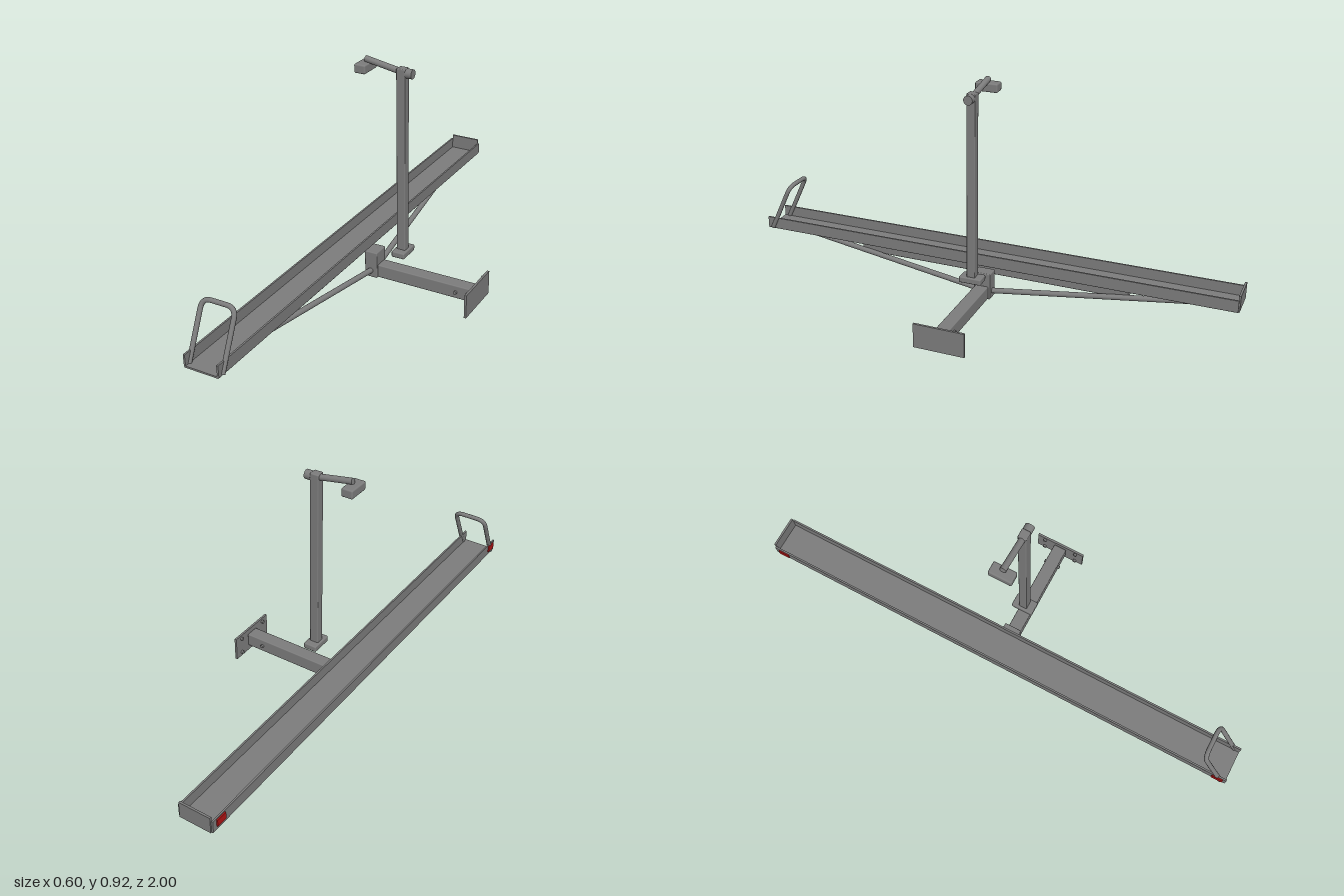
import * as THREE from 'three';
import { RoundedBoxGeometry } from 'three/addons/geometries/RoundedBoxGeometry.js';

const steel = new THREE.MeshStandardMaterial({ name: 'grey steel', color: 0x7c7c7c });
const red = new THREE.MeshStandardMaterial({ name: 'red reflector', color: 0xb01515 });

export function createModel() {
  const model = new THREE.Group();
  model.name = 'carrierRack';

  const add = (name, geometry, material = steel) => {
    const mesh = new THREE.Mesh(geometry, material);
    mesh.name = name;
    model.add(mesh);
    return mesh;
  };
  // Box given by its extents; r rounds the edges
  const box = (name, x0, x1, y0, y1, z0, z1, r = 0, material = steel) => {
    const [w, h, d] = [x1 - x0, y1 - y0, z1 - z0];
    const geometry = r ? new RoundedBoxGeometry(w, h, d, 2, r) : new THREE.BoxGeometry(w, h, d);
    const mesh = add(name, geometry, material);
    mesh.position.set((x0 + x1) / 2, (y0 + y1) / 2, (z0 + z1) / 2);
    return mesh;
  };
  // Round bar between two points
  const rod = (name, a, b, radius) => {
    const from = new THREE.Vector3(...a), to = new THREE.Vector3(...b);
    const dir = to.clone().sub(from);
    const mesh = add(name, new THREE.CylinderGeometry(radius, radius, dir.length(), 20));
    mesh.position.copy(from).add(to).multiplyScalar(0.5);
    mesh.quaternion.setFromUnitVectors(new THREE.Vector3(0, 1, 0), dir.normalize());
    return mesh;
  };

  // Wheel tray: U-shaped channel running the full length, open at the front
  const L = -0.295, R = -0.155, B = 0.145, T = 0.195, t = 0.007, c = 0.006;
  const channel = new THREE.Shape();
  channel.moveTo(L, T);
  channel.lineTo(L, B + c);
  channel.quadraticCurveTo(L, B, L + c, B);
  channel.lineTo(R - c, B);
  channel.quadraticCurveTo(R, B, R, B + c);
  channel.lineTo(R, T);
  channel.lineTo(R - t, T);
  channel.lineTo(R - t, B + t);
  channel.lineTo(L + t, B + t);
  channel.lineTo(L + t, T);
  channel.closePath();
  const tray = add('tray', new THREE.ExtrudeGeometry(channel, { depth: 1.995, bevelEnabled: false, curveSegments: 4 }));
  tray.position.z = -0.995;
  box('trayEndPlate', -0.288, -0.162, 0.147, 0.212, -1, -0.992);

  // Side reflectors
  for (const z of [0.965, -0.955]) {
    box('reflector', -0.3, -0.2945, 0.163, 0.19, z - 0.022, z + 0.022, 0, red);
  }

  // Wheel hoop: rounded arch leaning back from the front end
  const arch = new THREE.CurvePath();
  const at = (x, s) => new THREE.Vector3(x, 0.155 + 0.193 * s, 0.977 - 0.093 * s);
  const [hl, hr, bend, s0] = [-0.29, -0.156, 0.036, 0.83];
  arch.add(new THREE.LineCurve3(at(hl, 0), at(hl, s0)));
  arch.add(new THREE.QuadraticBezierCurve3(at(hl, s0), at(hl, 1), at(hl + bend, 1)));
  arch.add(new THREE.LineCurve3(at(hl + bend, 1), at(hr - bend, 1)));
  arch.add(new THREE.QuadraticBezierCurve3(at(hr - bend, 1), at(hr, 1), at(hr, s0)));
  arch.add(new THREE.LineCurve3(at(hr, s0), at(hr, 0)));
  add('wheelHoop', new THREE.TubeGeometry(arch, 80, 0.009, 12));
  for (const x of [hl, hr]) rod('hoopFoot', [x, 0.151, 0.979], [x, 0.156, 0.9765], 0.009);

  // Support rail under the tray, with a diagonal brace each way
  box('supportRail', -0.245, -0.2, 0.095, 0.137, -0.572, 0.572, 0.005);
  for (const s of [1, -1]) {
    rod('brace', [-0.147, 0.05, s * 0.025], [-0.222, 0.125, s * 0.81], 0.011);
  }

  // Mounting post and arm
  box('post', -0.174, -0.12, 0.022, 0.133, -0.035, 0.035, 0.004);
  box('arm', -0.122, 0.29, 0.024, 0.078, -0.027, 0.027, 0.004);
  rod('armPin', [0.217, 0.05, -0.034], [0.217, 0.05, 0.034], 0.007);

  // End plate and its four bolts
  box('endPlate', 0.289, 0.298, 0, 0.098, -0.103, 0.103);
  for (const y of [0.017, 0.083]) {
    for (const z of [-0.07, 0.07]) rod('plateBolt', [0.281, y, z], [0.291, y, z], 0.007);
  }

  // Upright mast on its foot
  box('mastFoot', -0.05, 0.005, 0.143, 0.168, -0.045, 0.045, 0.005);
  box('mast', -0.041, -0.005, 0.165, 0.902, -0.017, 0.017, 0.004);

  // Clamp: tilted tube, knob and pad
  rod('clampTube', [-0.03, 0.887, 0], [-0.174, 0.913, 0], 0.012);
  const knob = rod('clampKnob', [-0.006, 0.884, 0], [0.02, 0.884, 0], 0.018);
  knob.geometry.computeBoundingSphere();
  box('clampPad', -0.199, -0.153, 0.867, 0.902, -0.045, 0.045, 0.006);

  return model;
}
